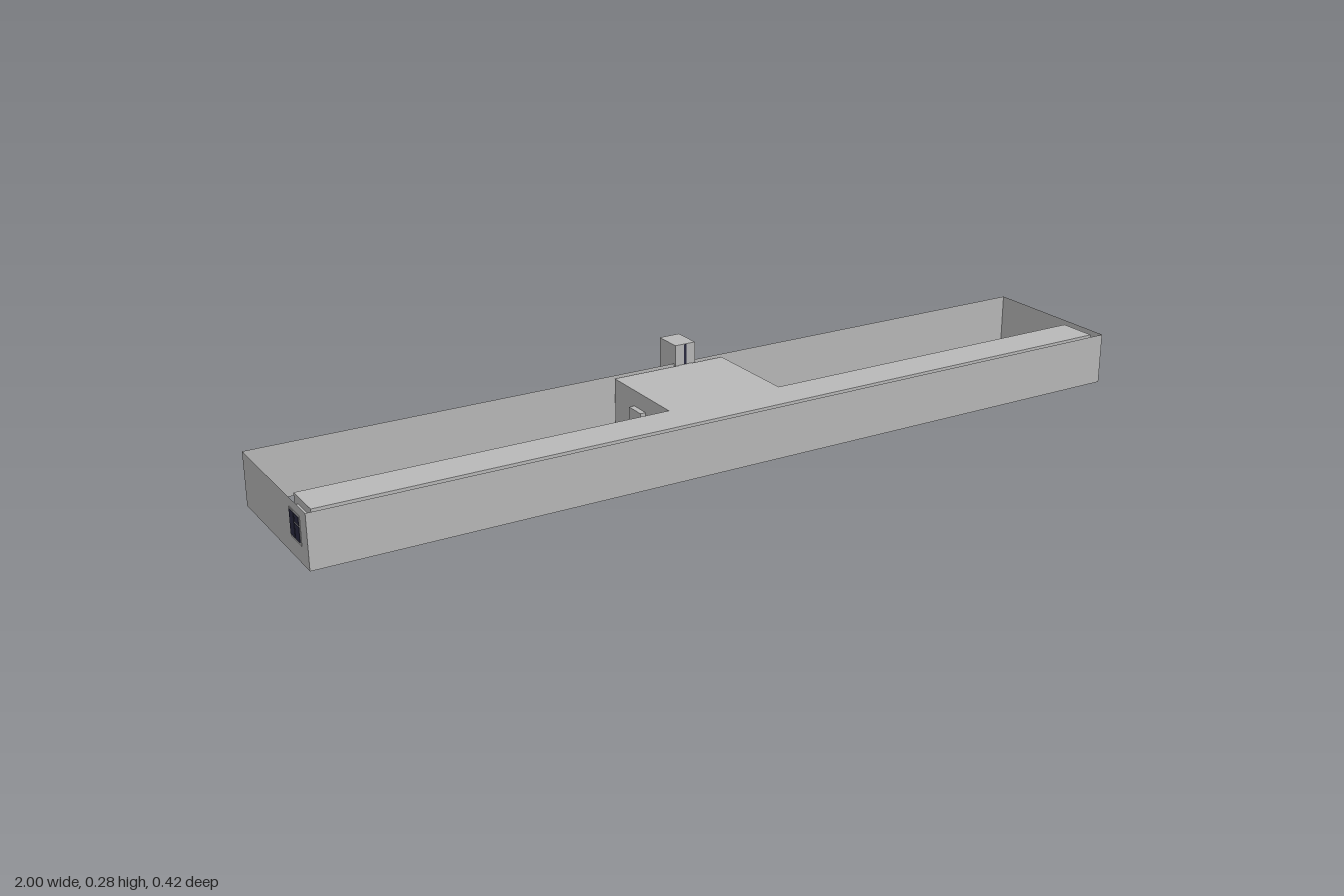
import * as THREE from 'three';

export function createModel() {
  const model = new THREE.Group();
  const grey = new THREE.MeshStandardMaterial({ color: 0xb8b8b8 });
  grey.name = 'plaster grey';
  const wallGrey = grey.clone();
  wallGrey.name = 'wall grey';
  wallGrey.side = THREE.DoubleSide;
  const dark = new THREE.MeshStandardMaterial({ color: 0x2a2a40 });
  dark.name = 'dark glass';

  // Box given by its lower and upper limits on each axis
  function box(name, x0, x1, y0, y1, z0, z1, material = grey, parent = model) {
    const mesh = new THREE.Mesh(new THREE.BoxGeometry(x1 - x0, y1 - y0, z1 - z0), material);
    mesh.position.set((x0 + x1) / 2, (y0 + y1) / 2, (z0 + z1) / 2);
    mesh.name = name;
    parent.add(mesh);
    return mesh;
  }

  // Thin perimeter wall, open above and below
  const zFront = 0.212, zBack = -0.148, yLow = 0.12, yHigh = 0.24;
  function wall(name, width, x, z, turn) {
    const mesh = new THREE.Mesh(new THREE.PlaneGeometry(width, yHigh - yLow), wallGrey);
    mesh.position.set(x, (yLow + yHigh) / 2, z);
    mesh.rotation.y = turn;
    mesh.name = name;
    model.add(mesh);
  }
  wall('frontWall', 1.996, 0, zFront, 0);
  wall('backWall', 1.996, 0, zBack, Math.PI);
  wall('leftWall', zFront - zBack, 0.998, (zFront + zBack) / 2, Math.PI / 2);
  wall('rightWall', zFront - zBack, -0.998, (zFront + zBack) / 2, -Math.PI / 2);

  // T-shaped building inside the wall
  const plan = new THREE.Shape([
    [-0.98, -0.192], [0.98, -0.192], [0.98, -0.1], [0.14, -0.1],
    [0.14, 0.137], [-0.143, 0.137], [-0.143, -0.1], [-0.98, -0.1],
  ].map(([x, y]) => new THREE.Vector2(x, y)));
  const block = new THREE.ExtrudeGeometry(plan, { depth: 0.116, bevelEnabled: false });
  block.rotateX(-Math.PI / 2);
  block.translate(0, 0.121, 0);
  const building = new THREE.Mesh(block, grey);
  building.name = 'building';
  model.add(building);

  // Door and window blocks along the long sides
  for (const x of [-0.89, -0.73, -0.52, -0.38, -0.25, -0.07, 0.06, 0.21, 0.35, 0.51, 0.73, 0.89])
    box('frontDoor', x - 0.02, x + 0.02, 0.118, 0.2, 0.19, 0.202);
  for (const x of [-0.89, -0.73, -0.52, -0.38, -0.225, 0.23, 0.37, 0.51, 0.73, 0.89])
    box('backDoor', x - 0.02, x + 0.02, 0.118, 0.2, 0.086, 0.102);
  box('sideDoor', -0.156, -0.14, 0.118, 0.2, -0.05, 0);

  // Porch blocks behind the stem of the T
  box('porchNeck', -0.087, -0.052, 0.12, 0.2, -0.147, -0.135);
  box('porch', -0.096, -0.044, 0.115, 0.215, -0.196, -0.145);
  box('towerNeck', 0.028, 0.062, 0.122, 0.236, -0.143, -0.135);
  box('tower', 0.018, 0.07, 0, 0.285, -0.211, -0.141);
  box('towerGap', 0.041, 0.047, 0.002, 0.284, -0.1415, -0.1405, dark);

  // End windows: a frame with two small panes beside a tall one
  for (const side of [1, -1]) {
    const frame = new THREE.Group();
    frame.name = side > 0 ? 'leftWindow' : 'rightWindow';
    const part = (name, xa, xb, ...rest) =>
      box(name, Math.min(xa * side, xb * side), Math.max(xa * side, xb * side), ...rest);
    frame.add(part('windowFrame', 0.979, 0.999, 0.159, 0.221, 0.121, 0.178));
    for (const [y0, y1, z0, z1] of [
      [0.2, 0.217, 0.15, 0.174], [0.164, 0.197, 0.15, 0.174], [0.164, 0.217, 0.123, 0.147],
    ]) frame.add(part('windowPane', 0.998, 1, y0, y1, z0, z1, dark));
    model.add(frame);
  }
  return model;
}
